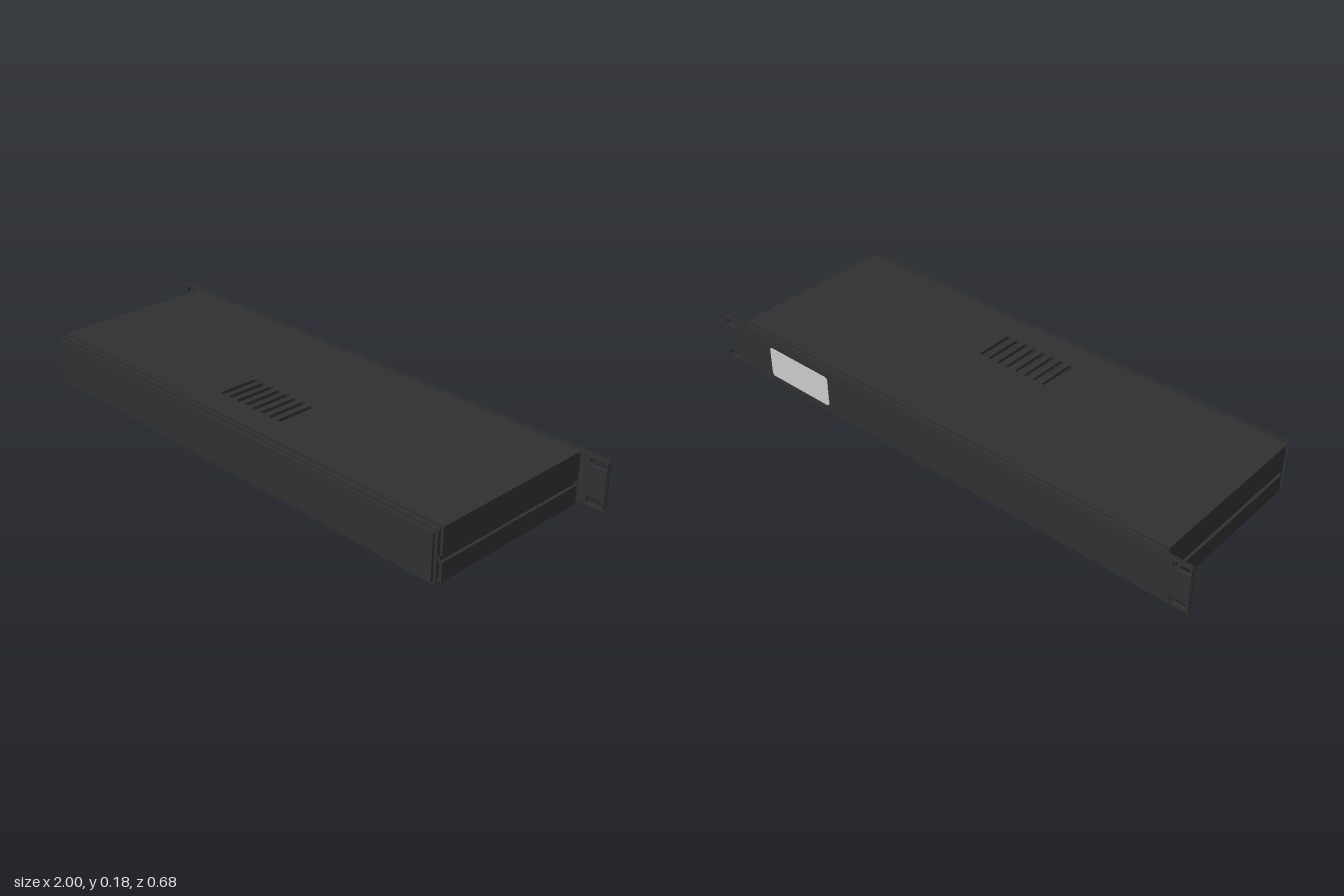
import * as THREE from 'three';

const black = new THREE.MeshStandardMaterial({ color: 0x303030 });
black.name = 'black metal';
const grey = new THREE.MeshStandardMaterial({ color: 0xcccccc });
grey.name = 'light grey label';

const H = 0.183, BACK = -0.315, FRONT = 0.308;

// Rounded rectangle outline, as a shape or a hole
function rounded(target, cx, cy, w, h, r) {
  const x = cx - w / 2, y = cy - h / 2;
  target.moveTo(x + r, y);
  target.lineTo(x + w - r, y);
  target.absarc(x + w - r, y + r, r, -Math.PI / 2, 0);
  target.lineTo(x + w, y + h - r);
  target.absarc(x + w - r, y + h - r, r, 0, Math.PI / 2);
  target.lineTo(x + r, y + h);
  target.absarc(x + r, y + h - r, r, Math.PI / 2, Math.PI);
  target.lineTo(x, y + r);
  target.absarc(x + r, y + r, r, Math.PI, Math.PI * 1.5);
  return target;
}

const plate = (shape, depth) =>
  new THREE.ExtrudeGeometry(shape, { depth, bevelEnabled: false, curveSegments: 6 });

export function createModel() {
  const model = new THREE.Group();
  model.name = 'rackEnclosure';

  const add = (name, geometry, material = black) => {
    const mesh = new THREE.Mesh(geometry, material);
    mesh.name = name;
    model.add(mesh);
    return mesh;
  };
  const box = (name, x0, x1, y0, y1, z0, z1) =>
    add(name, new THREE.BoxGeometry(x1 - x0, y1 - y0, z1 - z0))
      .position.set((x0 + x1) / 2, (y0 + y1) / 2, (z0 + z1) / 2);

  // Top cover with a row of vent slots
  const top = rounded(new THREE.Shape(), 0, (BACK + FRONT) / 2, 1.81, FRONT - BACK, 0.002);
  for (let i = 0; i < 8; i++) {
    top.holes.push(rounded(new THREE.Path(), (i - 3.5) * 0.039, 0.14, 0.018, 0.15, 0.008));
  }
  const cover = plate(top, 0.011);
  cover.rotateX(Math.PI / 2);
  add('topCover', cover).position.y = H;

  // Floor, slightly recessed between the side rails
  box('floor', -0.895, 0.895, 0.003, 0.012, BACK, FRONT);

  // Side rails with a groove along the middle
  for (const s of [-1, 1]) {
    const side = (name, a, b, ...rest) => box(name, Math.min(s * a, s * b), Math.max(s * a, s * b), ...rest);
    side('upperSide', 0.893, 0.905, 0.086, 0.172, BACK, FRONT);
    side('lowerSide', 0.893, 0.905, 0, 0.066, BACK, FRONT);
    side('sideGroove', 0.885, 0.895, 0.066, 0.086, BACK, FRONT);
  }

  // Narrower collars joining the body to the end panels
  for (const [z0, z1] of [[FRONT, 0.318], [-0.325, BACK]]) {
    box('collarTop', -0.895, 0.895, 0.162, 0.172, z0, z1);
    box('collarBottom', -0.895, 0.895, 0.012, 0.022, z0, z1);
    for (const s of [-1, 1]) {
      box('collarUpperSide', s * 0.89 - 0.005, s * 0.89 + 0.005, 0.086, 0.172, z0, z1);
      box('collarLowerSide', s * 0.89 - 0.005, s * 0.89 + 0.005, 0.012, 0.066, z0, z1);
    }
  }

  // Front panel: thick slab with a thin rim
  box('frontPanel', -0.895, 0.895, 0.012, 0.172, 0.318, 0.341);
  add('frontPanelRim', plate(rounded(new THREE.Shape(), 0, H / 2, 1.81, H, 0.008), 0.004))
    .position.z = 0.328;

  // Rear rack panel with slotted ears
  const rear = (w, h) => {
    const shape = rounded(new THREE.Shape(), 0, H / 2, w, h, 0.008);
    for (const x of [-0.964, 0.964]) {
      for (const y of [0.026, 0.157]) {
        shape.holes.push(rounded(new THREE.Path(), x, y, 0.062, 0.026, 0.0125));
      }
    }
    return shape;
  };
  add('rearPanel', plate(rear(1.996, 0.167), 0.015)).position.z = -0.34;
  add('rearPanelRim', plate(rear(2, H), 0.004)).position.z = -0.335;

  // Label on the rear face
  add('rearLabel', plate(rounded(new THREE.Shape(), 0.615, 0.088, 0.29, 0.115, 0.012), 0.003), grey)
    .position.z = -0.342;

  return model;
}
